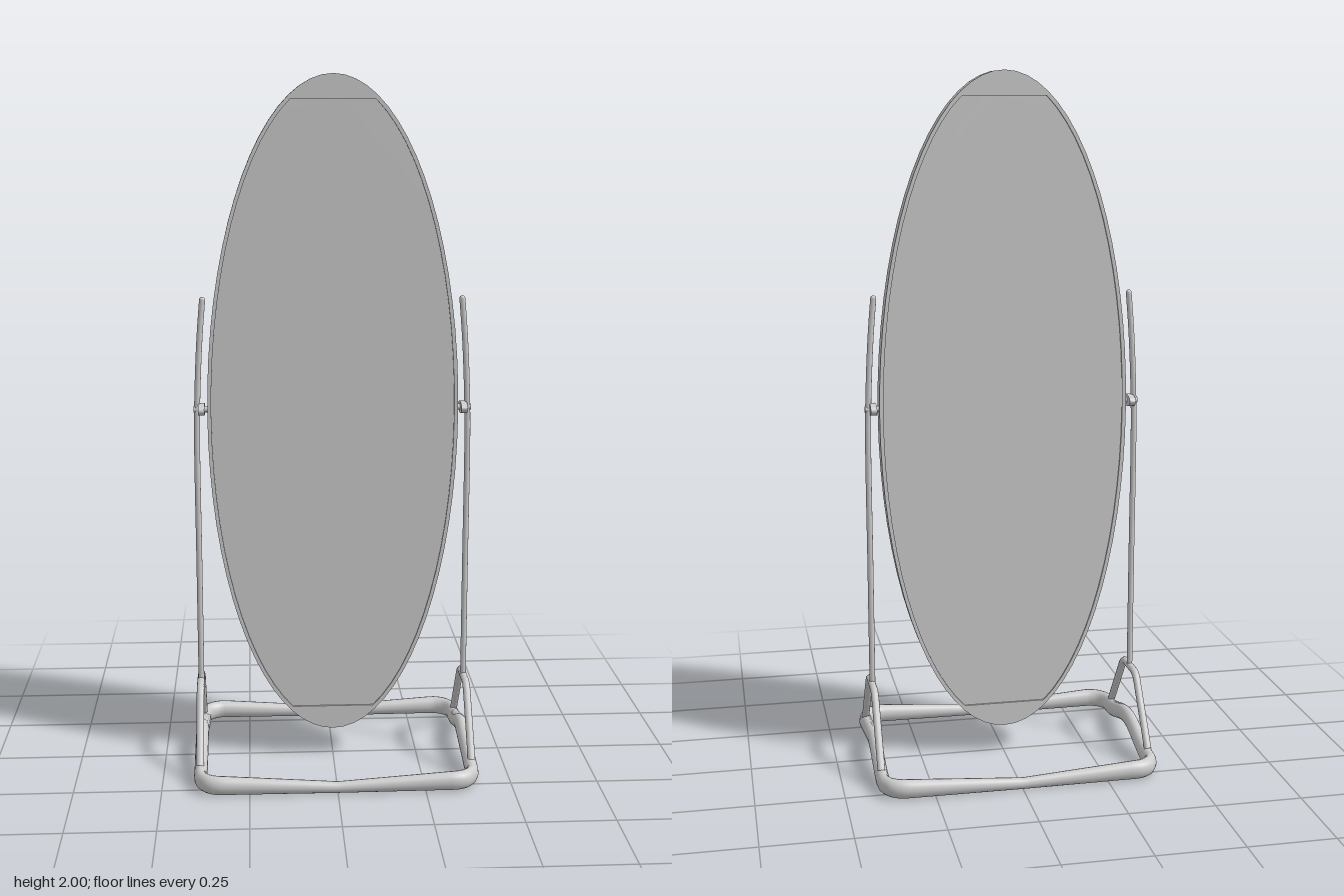
import * as THREE from 'three';
import { toCreasedNormals } from 'three/addons/utils/BufferGeometryUtils.js';

const material = new THREE.MeshStandardMaterial({ color: 0xcccccc });

function add(parent, name, geometry) {
  const mesh = new THREE.Mesh(geometry, material);
  mesh.name = name;
  parent.add(mesh);
  return mesh;
}

// Ellipse outline, optionally cut flat at top and bottom
function ovalPoints(rx, ry, cut = Infinity, count = 72) {
  return Array.from({ length: count }, (_, i) => {
    const a = (i / count) * Math.PI * 2;
    const y = Math.sin(a) * ry;
    return new THREE.Vector2(Math.cos(a) * rx, THREE.MathUtils.clamp(y, -cut, cut));
  });
}

function extrude(shape, depth) {
  const g = new THREE.ExtrudeGeometry(shape, { depth, bevelEnabled: false });
  return toCreasedNormals(g.translate(0, 0, -depth / 2), 0.6);
}

// Rounded rectangular foot loop: arched sides, front and back bars slimmer in the middle
function baseGeometry() {
  const X = 0.39, Z = 0.285, R = 0.06, n = 160, sides = 16;
  const path = new THREE.Path();
  path.moveTo(X, 0);
  path.absarc(X - R, Z - R, R, 0, Math.PI / 2);
  path.absarc(-X + R, Z - R, R, Math.PI / 2, Math.PI);
  path.absarc(-X + R, -Z + R, R, Math.PI, Math.PI * 1.5);
  path.absarc(X - R, -Z + R, R, Math.PI * 1.5, Math.PI * 2);
  path.lineTo(X, 0);
  const pos = [], index = [];
  for (let i = 0; i < n; i++) {
    const p = path.getPointAt(i / n), t = path.getTangentAt(i / n);
    const k = Math.min(Math.abs(p.x) / 0.33, 1);
    const onSide = Math.abs(p.x) > 0.37;
    const hump = onSide && Math.abs(p.y) < 0.22 ? 0.5 + 0.5 * Math.cos(Math.PI * p.y / 0.22) : 0;
    const y = 0.02 + 0.0125 * k + 0.043 * hump;
    const ry = 0.016 + 0.011 * k - 0.002 * hump;
    const rh = 0.016 + 0.006 * k - (onSide ? 0.003 : 0);
    for (let j = 0; j < sides; j++) {
      const a = (j / sides) * Math.PI * 2, c = Math.cos(a) * rh;
      pos.push(p.x - t.y * c, y + Math.sin(a) * ry, p.y + t.x * c);
      const i2 = (i + 1) % n, j2 = (j + 1) % sides;
      const q = [i * sides + j, i2 * sides + j, i2 * sides + j2, i * sides + j2];
      index.push(q[0], q[1], q[3], q[1], q[2], q[3]);
    }
  }
  const g = new THREE.BufferGeometry();
  g.setAttribute('position', new THREE.Float32BufferAttribute(pos, 3));
  g.setIndex(index);
  g.computeVertexNormals();
  return g;
}

// Straight rods joined by softly rounded bends
function bentPath(points, r) {
  const v = points.map(p => new THREE.Vector3(...p));
  const path = new THREE.CurvePath();
  let start = v[0];
  for (let i = 1; i < v.length - 1; i++) {
    const a = v[i].clone().add(v[i - 1].clone().sub(v[i]).setLength(r));
    const b = v[i].clone().add(v[i + 1].clone().sub(v[i]).setLength(r));
    path.add(new THREE.LineCurve3(start, a));
    path.add(new THREE.QuadraticBezierCurve3(a, v[i], b));
    start = b;
  }
  path.add(new THREE.LineCurve3(start, v[v.length - 1]));
  return path;
}

export function createModel() {
  const model = new THREE.Group();
  model.name = 'standingMirror';

  // Oval mirror, glass set slightly into its frame on both faces
  const mirror = new THREE.Group();
  mirror.name = 'mirror';
  mirror.position.y = 1.045;
  model.add(mirror);
  const outline = new THREE.Shape(ovalPoints(0.36, 0.955));
  const glassPoints = ovalPoints(0.349, 0.942, 0.885);
  outline.holes.push(new THREE.Path(glassPoints));
  add(mirror, 'mirrorFrame', extrude(outline, 0.048));
  add(mirror, 'mirrorGlass', extrude(new THREE.Shape(glassPoints), 0.038));

  add(model, 'baseLoop', baseGeometry());

  for (const s of [1, -1]) {
    const side = new THREE.Group();
    side.name = s > 0 ? 'leftSupport' : 'rightSupport';
    model.add(side);

    // Trapezoid brace standing on the arched side of the base
    const brace = bentPath([
      [s * 0.392, 0.055, 0.203], [s * 0.392, 0.24, 0.065],
      [s * 0.392, 0.24, -0.065], [s * 0.392, 0.055, -0.203],
    ], 0.025);
    add(side, 'brace', new THREE.TubeGeometry(brace, 60, 0.011, 12));

    // Upright, leaning in toward the mirror above the pivot
    const upright = new THREE.CatmullRomCurve3([
      [0.391, 0.24], [0.391, 0.6], [0.391, 1.0], [0.386, 1.15], [0.379, 1.27], [0.37, 1.375],
    ].map(([x, y]) => new THREE.Vector3(s * x, y, 0)));
    add(side, 'upright', new THREE.TubeGeometry(upright, 40, 0.0085, 12));
    const tip = add(side, 'uprightTip', new THREE.SphereGeometry(0.0085, 12, 8));
    tip.position.set(s * 0.37, 1.375, 0);

    // Pivot pin and its flat oval knob
    const pin = add(side, 'pivotPin', new THREE.CylinderGeometry(0.009, 0.009, 0.045, 12));
    pin.rotation.z = Math.PI / 2;
    pin.position.set(s * 0.377, 1.06, 0);
    const knobShape = new THREE.Shape(ovalPoints(0.038, 0.017, Infinity, 32));
    const knob = add(side, 'pivotKnob', extrude(knobShape, 0.018));
    knob.rotation.y = Math.PI / 2;
    knob.position.set(s * 0.377, 1.06, 0);
  }
  return model;
}
